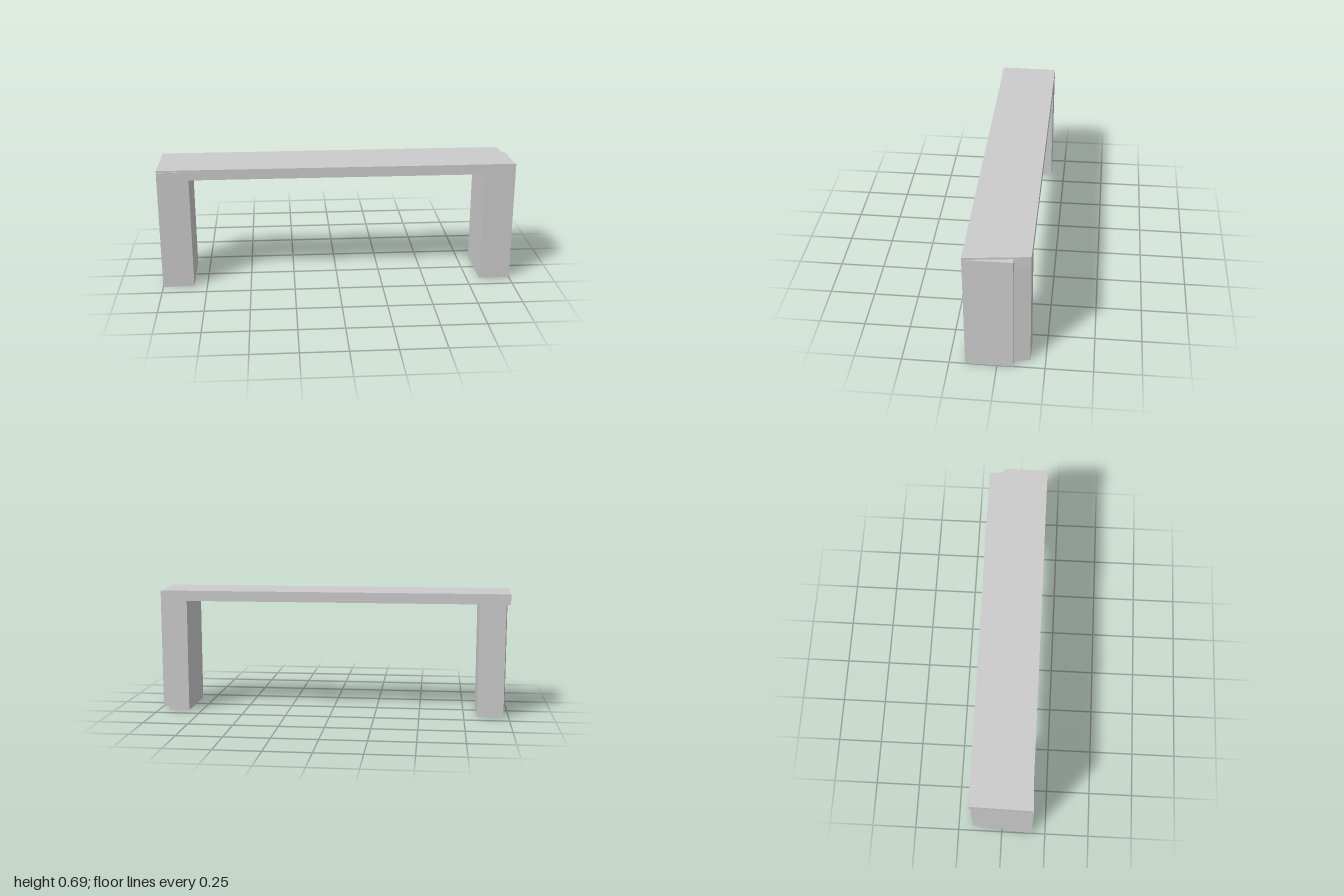
import * as THREE from 'three';

const material = new THREE.MeshStandardMaterial({ color: 0xcccccc, flatShading: true });

// Upright prism over a footprint of [x, z] corners
function prism(name, corners, bottom, top) {
  const shape = new THREE.Shape(corners.map(([x, z]) => new THREE.Vector2(x, -z)));
  const geometry = new THREE.ExtrudeGeometry(shape, { depth: top - bottom, bevelEnabled: false });
  geometry.rotateX(-Math.PI / 2).translate(0, bottom, 0);
  const mesh = new THREE.Mesh(geometry, material);
  mesh.name = name;
  return mesh;
}

export function createModel() {
  const group = new THREE.Group();
  group.name = 'bench';

  // Long top slab with one slanted end
  group.add(prism('topSlab', [
    [-1, 0.165], [1, 0.165], [0.96, -0.171], [-0.995, -0.166],
  ], 0.635, 0.693));

  // Left leg, with a shoulder standing out past the slanted end of the slab
  group.add(prism('leftLeg', [
    [0.825, 0.165], [1, 0.165], [1, -0.086], [0.96, -0.086], [0.943, -0.17], [0.825, -0.17],
  ], 0, 0.682));

  // Right leg, narrowing towards the back
  group.add(prism('rightLeg', [
    [-1, 0.172], [-0.825, 0.165], [-0.825, -0.166], [-0.971, -0.166],
  ], 0, 0.682));

  return group;
}
